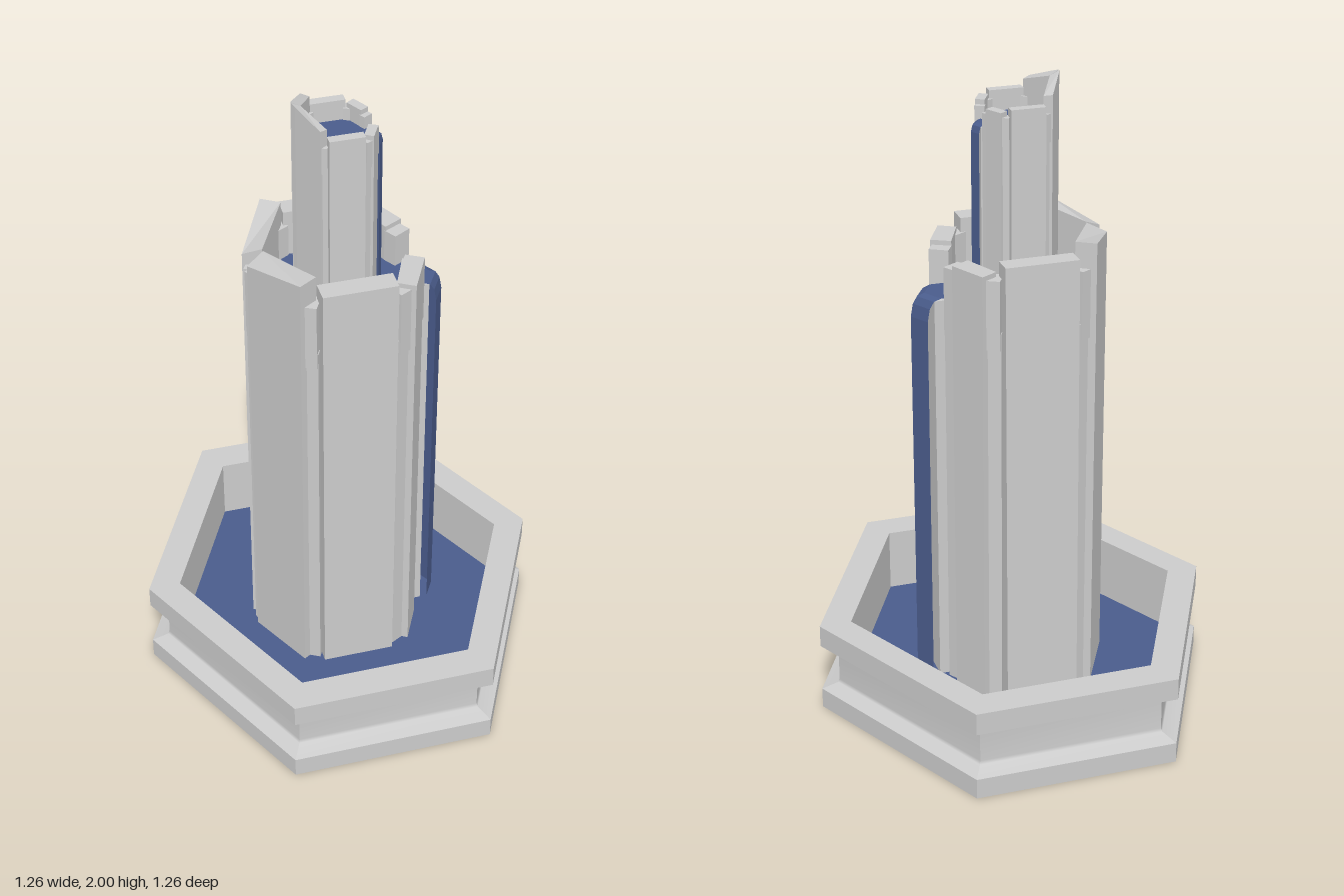
import * as THREE from 'three';
import { mergeGeometries } from 'three/addons/utils/BufferGeometryUtils.js';

const stone = new THREE.MeshStandardMaterial({ color: 0xcccccc, side: THREE.DoubleSide });
const water = new THREE.MeshStandardMaterial({ color: 0x4a5c8c, side: THREE.DoubleSide });

function geometryFrom(positions, index) {
  let g = new THREE.BufferGeometry();
  g.setAttribute('position', new THREE.Float32BufferAttribute(positions, 3));
  if (index) g.setIndex(index);
  g.computeVertexNormals();
  return g;
}

// Upright prism on a convex footprint of [x, z, topHeight]; the foot may be offset in z
function prism(footprint, y0, footShift = () => 0) {
  let area = 0;
  footprint.forEach(([x, z], i) => {
    const [u, v] = footprint[(i + 1) % footprint.length];
    area += x * v - u * z;
  });
  const pts = area > 0 ? [...footprint].reverse() : footprint;
  const top = pts.map(([x, z, h]) => [x, h, z]);
  const foot = pts.map(([x, z]) => [x, y0, z + footShift(z)]);
  const out = [];
  const tri = (a, b, c) => out.push(...a, ...b, ...c);
  const n = pts.length;
  for (let i = 0; i < n; i++) {
    const j = (i + 1) % n;
    tri(foot[i], foot[j], top[j]);
    tri(foot[i], top[j], top[i]);
    if (i > 0 && i < n - 1) {
      tri(top[0], top[i], top[i + 1]);
      tri(foot[0], foot[i + 1], foot[i]);
    }
  }
  return geometryFrom(out);
}

const flat = (pts, h) => pts.map(([x, z]) => [x, z, h]);
const mirrorZ = (pts) => pts.map(([x, z, h]) => [x, -z, h]);
const hexagon = (r) => [[r, 0], [r / 2, r], [-r / 2, r], [-r, 0], [-r / 2, -r], [r / 2, -r]];

// Square post turned about the vertical axis
function post(x, z, w, d, angle, y0, y1) {
  return new THREE.BoxGeometry(w, y1 - y0, d).rotateY(angle).translate(x, (y0 + y1) / 2, z);
}

// Six-sided basin swept from profile groups of [radius, y]; each group shades smoothly
function basinGeometry() {
  const groups = [
    [[0, 0], [0.63, 0]],
    [[0.63, 0], [0.63, 0.065]],
    [[0.63, 0.065], [0.578, 0.08], [0.573, 0.09], [0.573, 0.2], [0.578, 0.21], [0.63, 0.22]],
    [[0.63, 0.22], [0.63, 0.29]],
    [[0.63, 0.29], [0.53, 0.29]],
    [[0.53, 0.29], [0.53, 0.06]],
  ];
  const strips = [];
  for (let s = 0; s < 6; s++) {
    for (const profile of groups) {
      const pos = [], index = [];
      profile.forEach(([r, y], k) => {
        const h = hexagon(r), a = h[s], b = h[(s + 1) % 6];
        pos.push(a[0], y, a[1], b[0], y, b[1]);
        if (k) {
          const i = 2 * k - 2;
          index.push(i, i + 2, i + 1, i + 1, i + 2, i + 3);
        }
      });
      strips.push(geometryFrom(pos, index));
    }
  }
  return mergeGeometries(strips);
}

// Pointed ribbon of water following a path of [x, y] ridge points
function streamGeometry(path, halfWidth, ridge) {
  const pos = [];
  for (const side of [-1, 1]) {
    for (let i = 0; i + 1 < path.length; i++) {
      const [x0, y0] = path[i], [x1, y1] = path[i + 1];
      const a = [x0, y0, 0], b = [x1, y1, 0];
      const c = [x0 - ridge, y0, side * halfWidth], d = [x1 - ridge, y1, side * halfWidth];
      if (side > 0) pos.push(...a, ...c, ...b, ...b, ...c, ...d);
      else pos.push(...a, ...b, ...c, ...b, ...d, ...c);
    }
  }
  return geometryFrom(pos);
}

export function createModel() {
  const model = new THREE.Group();
  const add = (parent, name, geometry, material = stone) => {
    const mesh = new THREE.Mesh(geometry, material);
    mesh.name = name;
    parent.add(mesh);
  };
  const tierGroup = (name) => {
    const g = new THREE.Group();
    g.name = name;
    model.add(g);
    return g;
  };

  // Basin and pool
  add(model, 'basin', basinGeometry());
  add(model, 'basinWater', prism(flat(hexagon(0.53), 0.085), 0.06), water);

  // Lower tier: core, pool and slabs
  const lower = tierGroup('lowerTier');
  const lowerCore = [[0.21, 0], [0.11, 0.195], [-0.12, 0.195], [-0.23, 0], [-0.12, -0.195], [0.11, -0.195]];
  add(lower, 'lowerCore', prism(flat(lowerCore, 1.34), 0.08));
  add(lower, 'lowerPool', prism(flat(lowerCore, 1.36), 1.34), water);
  add(lower, 'frontSlab', prism(flat([[-0.12, 0.19], [0.105, 0.19], [0.105, 0.257], [-0.12, 0.257]], 1.51), 0.08));
  add(lower, 'backSlab', prism(flat([[-0.12, -0.195], [0.105, -0.195], [0.105, -0.258], [-0.12, -0.258]], 1.51),
    0.08, (z) => (z < -0.25 ? -0.017 : 0)));
  const leftSlab = [[-0.23, 0.005, 1.525], [-0.285, 0.032, 1.5], [-0.18, 0.235, 1.545], [-0.125, 0.2, 1.545]];
  const rightSlab = flat([[0.115, 0.2], [0.165, 0.23], [0.222, 0.115], [0.165, 0.085]], 1.48);

  // Upper tier: core, pool and slabs
  const upper = tierGroup('upperTier');
  const upperCore = [[0.09, 0], [0.045, 0.093], [-0.06, 0.093], [-0.112, 0], [-0.06, -0.093], [0.045, -0.093]];
  add(upper, 'upperCore', prism(flat(upperCore, 1.85), 1.34));
  add(upper, 'upperPool', prism(flat(upperCore, 1.867), 1.85), water);
  const upperLeft = [[-0.112, 0, 1.985], [-0.14, 0.003, 2], [-0.133, 0.018, 1.995], [-0.085, 0.108, 1.96], [-0.062, 0.093, 1.955]];
  const upperRight = flat([[0.046, 0.09], [0.07, 0.106], [0.098, 0.052], [0.073, 0.038]], 1.92);
  const upperFront = flat([[-0.062, 0.09], [0.043, 0.09], [0.043, 0.12], [-0.062, 0.12]], 1.93);

  // Mirrored slabs, corner fillers and taller corner posts
  for (const s of [1, -1]) {
    const m = s > 0 ? (p) => p : mirrorZ;
    add(lower, 'leftSlab', prism(m(leftSlab), 0.08));
    add(lower, 'rightSlab', prism(m(rightSlab), 0.08));
    add(upper, 'upperEndSlab', prism(m(upperFront), 1.34));
    add(upper, 'upperLeftSlab', prism(m(upperLeft), 1.34));
    add(upper, 'upperRightSlab', prism(m(upperRight), 1.34));

    const lowerCorners = [[0.122, 0.205, 0.5], [-0.14, 0.205, -0.5], [-0.25, 0.012, -1.05], [0.2, 0.083, 1.05]];
    for (const [x, z, a] of lowerCorners) {
      add(lower, 'cornerFiller', post(x, s * z, 0.05, 0.05, s * a, 0.08, 1.3));
      add(lower, 'cornerPost', post(x, s * z, 0.045, 0.06, s * a, 1.25, 1.465));
    }
    const upperCorners = [[0.05, 0.095, 0.5], [-0.068, 0.095, -0.5], [0.087, 0.038, 1.05]];
    for (const [x, z, a] of upperCorners) {
      add(upper, 'upperCornerFiller', post(x, s * z, 0.022, 0.024, s * a, 1.34, 1.84));
      add(upper, 'upperCornerPost', post(x, s * z, 0.02, 0.03, s * a, 1.82, 1.905));
    }
  }

  // Spout piers under the streams
  add(lower, 'lowerSpoutPier', post(0.21, 0, 0.1, 0.115, 0, 0.08, 1.352));
  add(upper, 'upperSpoutPier', post(0.085, 0, 0.04, 0.052, 0, 1.34, 1.858));

  // Falling water
  add(lower, 'lowerStream', streamGeometry(
    [[0.2, 1.36], [0.275, 1.36], [0.297, 1.352], [0.31, 1.33], [0.317, 1.29], [0.317, 0.085]], 0.06, 0.035), water);
  add(upper, 'upperStream', streamGeometry(
    [[0.08, 1.867], [0.11, 1.867], [0.122, 1.86], [0.127, 1.84], [0.127, 1.36]], 0.028, 0.016), water);
  return model;
}
